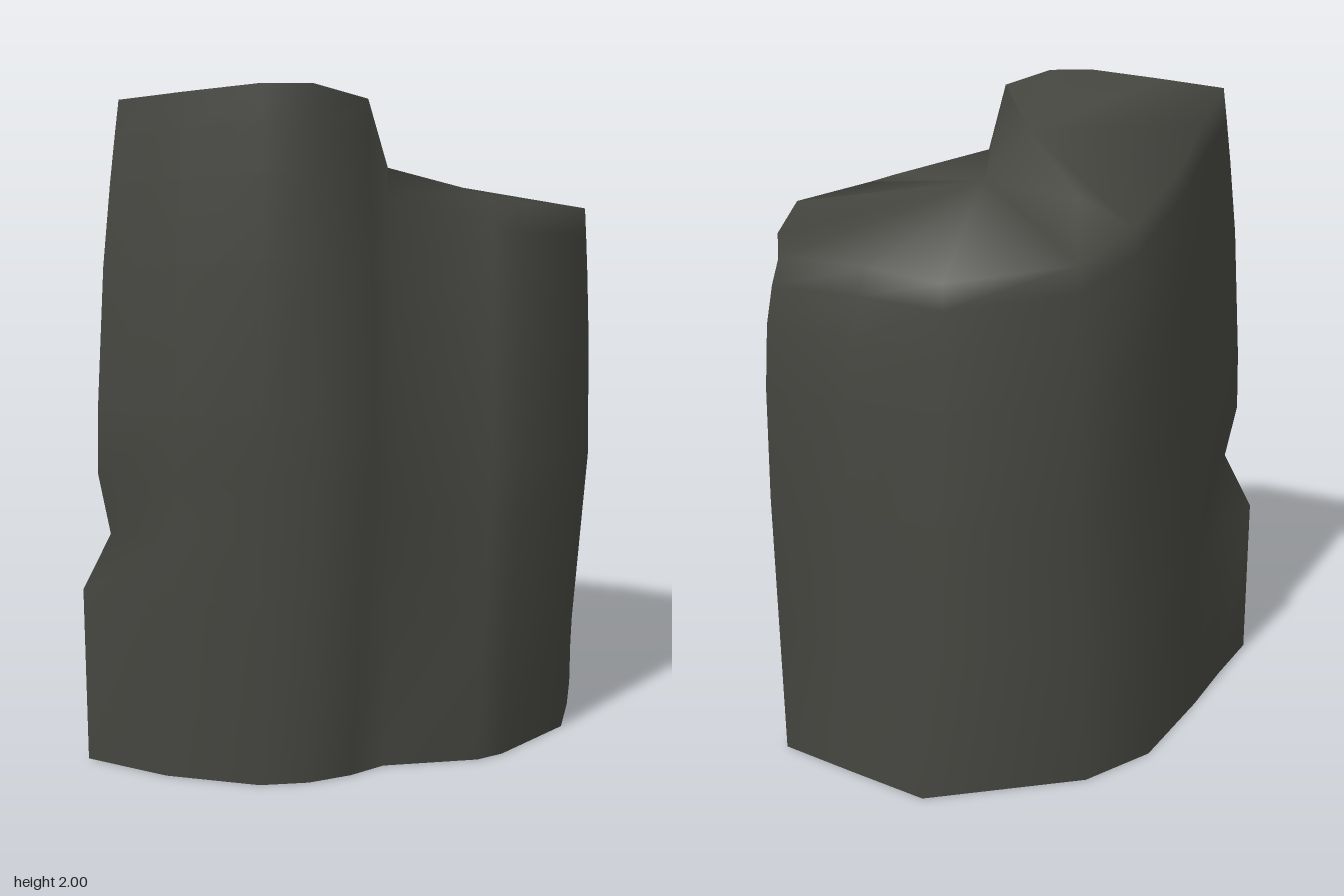
import * as THREE from 'three';
import { toCreasedNormals } from 'three/addons/utils/BufferGeometryUtils.js';

// Outline columns, counter-clockwise from above:
// base x,z | waist x,z | rim x,y,z | how late the wall bends in to the rim
const columns = [
  [-0.70, 0.61, -0.635, 0.62, -0.555, 1.96, 0.60, 1.5],
  [-0.42, 0.67, -0.36, 0.70, -0.34, 1.98, 0.635, 1.5],
  [-0.13, 0.66, -0.11, 0.685, -0.10, 2.00, 0.67, 1.5],
  [0.00, 0.60, 0.04, 0.61, 0.03, 2.00, 0.62, 1.5],
  [0.10, 0.51, 0.18, 0.53, 0.15, 1.96, 0.50, 1.5],
  [0.17, 0.41, 0.21, 0.41, 0.16, 1.77, 0.34, 1.5],
  [0.43, 0.28, 0.47, 0.30, 0.45, 1.69, 0.25, 2],
  [0.49, 0.21, 0.54, 0.25, 0.52, 1.67, 0.20, 2],
  [0.62, -0.08, 0.69, -0.06, 0.665, 1.645, -0.06, 2],
  [0.60, -0.30, 0.63, -0.31, 0.61, 1.60, -0.34, 3],
  [0.57, -0.52, 0.57, -0.56, 0.55, 1.56, -0.47, 5],
  [0.32, -0.61, 0.32, -0.60, 0.25, 1.56, -0.55, 3],
  [0.06, -0.70, 0.04, -0.64, 0.01, 1.54, -0.59, 1],
  [-0.38, -0.46, -0.34, -0.45, -0.31, 1.56, -0.35, 2],
  [-0.53, -0.25, -0.47, -0.23, -0.42, 1.63, -0.12, 2],
  [-0.61, 0.12, -0.55, 0.12, -0.50, 1.76, 0.14, 1.5],
  [-0.65, 0.36, -0.59, 0.36, -0.53, 1.87, 0.36, 1.5],
];
const WAIST = 0.545;
const levels = [0, 0.27, 0.36, 0.45, WAIST, 0.76, 0.88, 0.95, 1];
const notch = { 1: -0.70, 2: -0.605, 3: -0.64 }; // chipped front corner, x by level

function columnPoint(i, level) {
  const [bx, bz, mx, mz, tx, ty, tz, ease] = columns[i];
  const t = levels[level];
  const low = t <= WAIST;
  const s = low ? t / WAIST : ((t - WAIST) / (1 - WAIST)) ** ease;
  const x = low ? bx + (mx - bx) * s : mx + (tx - mx) * s;
  const z = low ? bz + (mz - bz) * s : mz + (tz - mz) * s;
  return [i === 0 && level in notch ? notch[level] : x, t * ty, z];
}

function geometryFrom(points, index) {
  const g = new THREE.BufferGeometry();
  g.setAttribute('position', new THREE.Float32BufferAttribute(points.flat(), 3));
  g.setIndex(index);
  return g;
}

export function createModel() {
  const group = new THREE.Group();
  group.name = 'boulder';
  const stone = new THREE.MeshStandardMaterial({ color: 0x454540 });
  stone.name = 'dark stone';

  const n = columns.length;
  const points = [];
  const index = [];

  // Walls lofted through the levels
  levels.forEach((_, l) => {
    for (let i = 0; i < n; i++) points.push(columnPoint(i, l));
  });
  for (let l = 0; l < levels.length - 1; l++) {
    for (let i = 0; i < n; i++) {
      const a = l * n + i, b = l * n + (i + 1) % n;
      index.push(a, b, b + n, a, b + n, a + n);
    }
  }

  // Stepped top: the tall front lobe drops to the lower back lobe
  const rim = (levels.length - 1) * n;
  const ridge = points.push([-0.06, 1.88, 0.03]) - 1;
  const foot = points.push([0.05, 1.74, -0.07]) - 1;
  const sideFoot = points.push([-0.25, 1.71, -0.10]) - 1;
  for (let i = 0; i < n; i++) {
    const hub = i === 13 ? sideFoot : i >= 4 && i <= 12 ? foot : ridge;
    index.push(rim + i, rim + (i + 1) % n, hub);
  }
  index.push(
    rim + 4, foot, ridge,
    foot, rim + 13, sideFoot,
    sideFoot, rim + 14, ridge,
    foot, sideFoot, ridge,
  );

  const body = new THREE.Mesh(toCreasedNormals(geometryFrom(points, index), 1.4), stone);
  body.name = 'rockBody';
  group.add(body);

  // Flat underside
  const base = columns.map((_, i) => columnPoint(i, 0));
  base.push([0, 0, 0]);
  const baseIndex = [];
  for (let i = 0; i < n; i++) baseIndex.push((i + 1) % n, i, n);
  const baseGeometry = geometryFrom(base, baseIndex);
  baseGeometry.computeVertexNormals();
  const underside = new THREE.Mesh(baseGeometry, stone);
  underside.name = 'underside';
  group.add(underside);

  return group;
}
